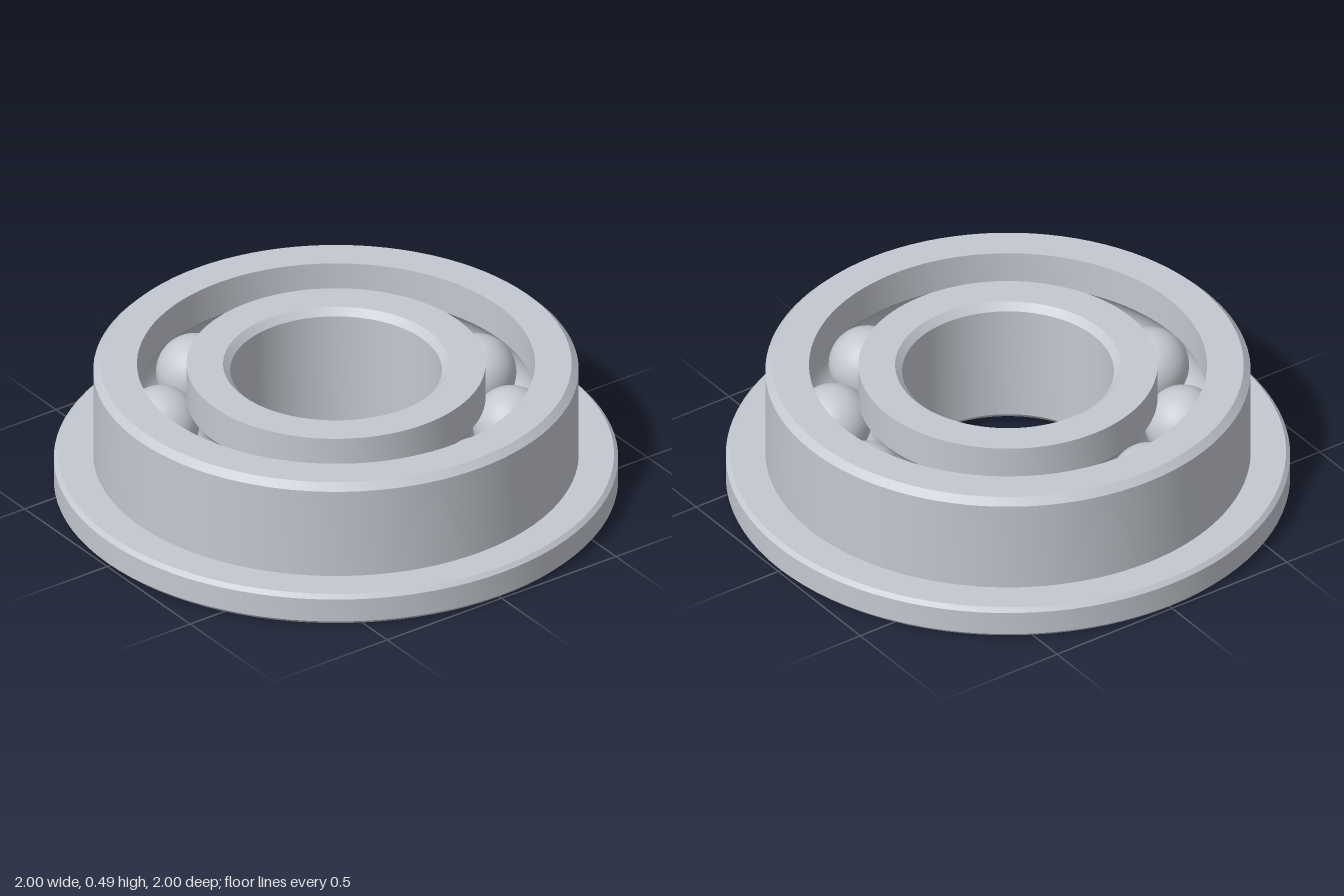
import * as THREE from 'three';
import { toCreasedNormals } from 'three/addons/utils/BufferGeometryUtils.js';

const HEIGHT = 0.49;
const PITCH = 0.62; // radius of the circle of ball centres
const BALL = 0.137;
const GROOVE = 0.14;
const BALLS = 10;

// Raceway arc from y = bottom to top; side +1 cuts the outer ring, -1 the inner ring
function raceway(wall, side) {
  const a = Math.acos(Math.abs(wall - PITCH) / GROOVE);
  const points = [];
  for (let i = 0; i <= 12; i++) {
    const t = -a + (2 * a * i) / 12;
    points.push([PITCH + side * GROOVE * Math.cos(t), HEIGHT / 2 + GROOVE * Math.sin(t)]);
  }
  return points;
}

// Closed counter-clockwise profile turned about y, with crisp edges
function ring(name, profile, material) {
  const points = [...profile, profile[0]].map(([r, y]) => new THREE.Vector2(r, y));
  const mesh = new THREE.Mesh(toCreasedNormals(new THREE.LatheGeometry(points, 96), 0.5), material);
  mesh.name = name;
  return mesh;
}

export function createModel() {
  const group = new THREE.Group();
  group.name = 'flangedBallBearing';
  const steel = new THREE.MeshStandardMaterial({ color: 0xc4c8d0 });
  steel.name = 'steel';

  // Outer ring with chamfered flange at the bottom
  group.add(ring('outerRing', [
    [0.705, 0], [0.985, 0], [1, 0.015], [1, 0.105], [0.985, 0.12], [0.86, 0.12],
    [0.86, 0.465], [0.835, HEIGHT], [0.705, HEIGHT],
    ...raceway(0.705, 1).reverse(),
  ], steel));

  // Inner ring with chamfered bore
  group.add(ring('innerRing', [
    [0.4, 0], [0.53, 0],
    ...raceway(0.53, -1),
    [0.53, HEIGHT], [0.4, HEIGHT], [0.375, 0.465], [0.375, 0.025],
  ], steel));

  // Balls spaced evenly around the raceway
  const balls = new THREE.Group();
  balls.name = 'balls';
  const ballGeometry = new THREE.SphereGeometry(BALL, 40, 24);
  for (let i = 0; i < BALLS; i++) {
    const a = (i * 2 * Math.PI) / BALLS;
    const ball = new THREE.Mesh(ballGeometry, steel);
    ball.name = 'ball';
    ball.position.set(PITCH * Math.cos(a), HEIGHT / 2, PITCH * Math.sin(a));
    balls.add(ball);
  }
  group.add(balls);
  return group;
}
